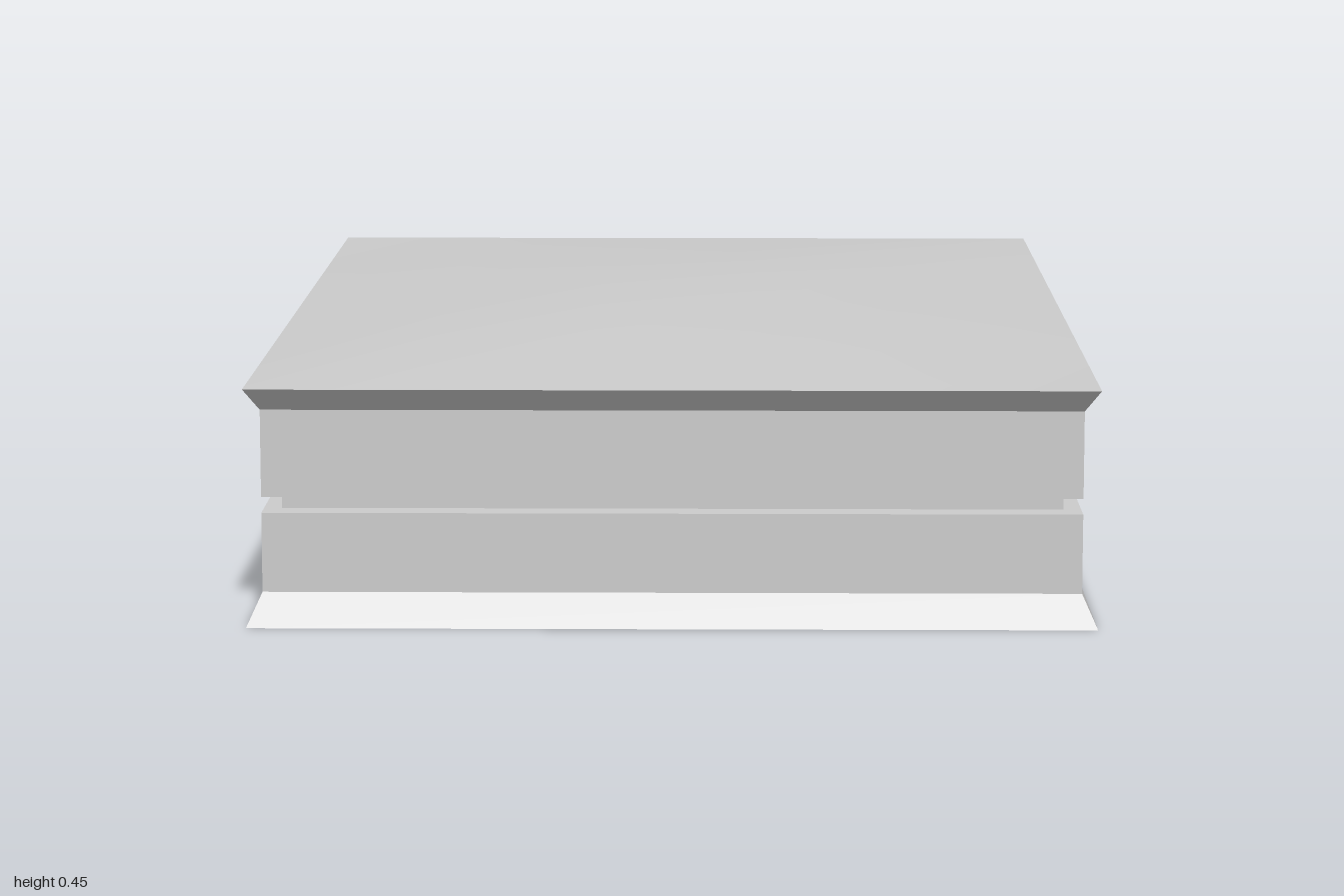
import * as THREE from 'three';

const grey = new THREE.MeshStandardMaterial({ color: 0xcccccc });
const faceted = new THREE.MeshStandardMaterial({ color: 0xcccccc, flatShading: true });

const CX = -0.0075; // the case sits slightly off centre because of the latch

// Closed solid through four-cornered rings, listed from bottom to top.
// Corners of each ring run (+x,+z), (+x,-z), (-x,-z), (-x,+z).
function loft(rings) {
  const pos = [];
  const quad = (a, b, c, d) => pos.push(...a, ...b, ...c, ...a, ...c, ...d);
  for (let r = 0; r < rings.length - 1; r++) {
    for (let i = 0; i < 4; i++) {
      const j = (i + 1) % 4;
      quad(rings[r][i], rings[r][j], rings[r + 1][j], rings[r + 1][i]);
    }
  }
  quad(...rings[rings.length - 1]);
  quad(...[...rings[0]].reverse());
  const geometry = new THREE.BufferGeometry();
  geometry.setAttribute('position', new THREE.Float32BufferAttribute(pos, 3));
  geometry.computeVertexNormals();
  return geometry;
}

// Ring with its own half depth on the outer and inner side
const ring = (y, xOut, zOut, xIn, zIn) => [
  [xOut, y, zOut], [xOut, y, -zOut], [xIn, y, -zIn], [xIn, y, zIn],
];
const rect = (y, hx, hz) => ring(y, CX + hx, hz, CX - hx, hz);

function add(group, name, geometry, material = faceted) {
  const mesh = new THREE.Mesh(geometry, material);
  mesh.name = name;
  group.add(mesh);
  return mesh;
}

function addBox(group, name, [x0, x1], [y0, y1], [z0, z1]) {
  add(group, name, new THREE.BoxGeometry(x1 - x0, y1 - y0, z1 - z0))
    .position.set((x0 + x1) / 2, (y0 + y1) / 2, (z0 + z1) / 2);
}

// Shallow dome stepping up evenly from all four edges
function domeGeometry() {
  const geometry = new THREE.PlaneGeometry(1.425, 2, 5, 5).rotateX(-Math.PI / 2);
  const p = geometry.attributes.position;
  for (let i = 0; i < p.count; i++) {
    const t = Math.max(Math.abs(p.getX(i)) / 0.7125, Math.abs(p.getZ(i)));
    const y = t > 0.9 ? 0.405 : t > 0.5 ? 0.432 : 0.45;
    p.setXYZ(i, p.getX(i) + CX, y, p.getZ(i));
  }
  geometry.computeVertexNormals();
  return geometry;
}

export function createModel() {
  const model = new THREE.Group();
  model.name = 'case';

  // Lower half with flared foot
  add(model, 'lowerCase', loft([
    rect(0, 0.7125, 1), rect(0.055, 0.6875, 0.965), rect(0.19, 0.6875, 0.965),
  ]));

  // Recessed core visible in the seam
  addBox(model, 'seamCore', [-0.665, 0.65], [0.185, 0.222], [-0.92, 0.92]);

  // Lid with flared rim and domed top
  add(model, 'lid', loft([
    rect(0.217, 0.6875, 0.965), rect(0.365, 0.6875, 0.965), rect(0.4045, 0.7125, 1),
  ]));
  add(model, 'lidDome', domeGeometry(), grey);

  // Hinge filling the seam on the side away from the latch
  addBox(model, 'hinge', [-0.695, -0.66], [0.19, 0.217], [-0.2, 0.2]);

  // Latch: mount against the case, tapering lever and catch pin
  const latch = new THREE.Group();
  latch.name = 'latch';
  add(latch, 'latchMount', loft([
    ring(0.07, 0.687, 0.05, 0.675, 0.05), ring(0.175, 0.695, 0.05, 0.675, 0.05),
    ring(0.188, 0.697, 0.05, 0.69, 0.05),
  ]));
  add(latch, 'latchLever', loft([
    ring(0.063, 0.69, 0.053, 0.675, 0.053), ring(0.078, 0.694, 0.05, 0.683, 0.053),
    ring(0.187, 0.706, 0.027, 0.693, 0.053), ring(0.258, 0.713, 0.015, 0.699, 0.029),
    ring(0.286, 0.705, 0.015, 0.701, 0.02),
  ]));
  addBox(latch, 'catchPin', [0.676, 0.686], [0.246, 0.256], [-0.038, 0.038]);
  model.add(latch);

  return model;
}
